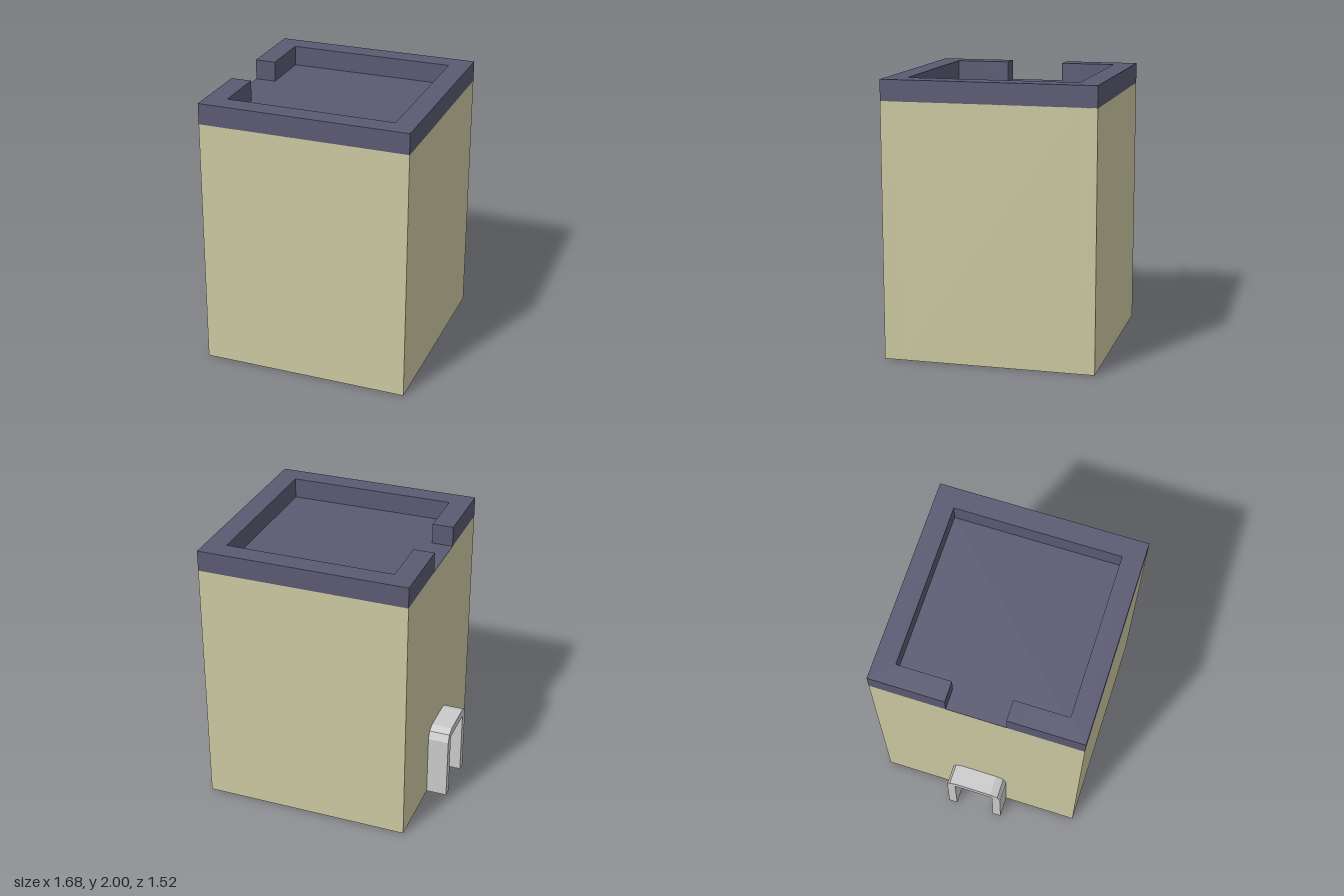
import * as THREE from 'three';

const material = (name, color) => {
  const m = new THREE.MeshStandardMaterial({ color });
  m.name = name;
  return m;
};

export function createModel() {
  const sand = material('sand wall', 0xcbc8a0);
  const slate = material('slate roof', 0x5a5972);
  const grey = material('grey frame', 0xcacaca);

  const group = new THREE.Group();
  const add = (name, geometry, mat, x = 0, y = 0, z = 0) => {
    const mesh = new THREE.Mesh(geometry, mat);
    mesh.name = name;
    mesh.position.set(x, y, z);
    group.add(mesh);
  };
  const box = (name, mat, w, h, d, x, y, z) =>
    add(name, new THREE.BoxGeometry(w, h, d), mat, x, y, z);

  const minX = -0.686, maxX = 0.838, half = 0.762, cx = (minX + maxX) / 2;
  const t = 0.12;             // wall thickness
  const roofY = 1.85, ceilY = 1.73;

  // Arch outline from the ground up and over, with bevelled corners
  const archPoints = (w, h, r) => {
    const k = r * Math.SQRT1_2;
    const side = [[w, 0], [w, h - r], [w - r + k, h - r + k], [w - r, h]];
    return [...side, ...side.map(([u, v]) => [-u, v]).reverse()].map(p => new THREE.Vector2(...p));
  };
  // Extrude a (z, y) outline toward -x from the given x
  const extrudeLeftward = (points, depth) =>
    new THREE.ExtrudeGeometry(new THREE.Shape(points), { depth, bevelEnabled: false })
      .rotateY(-Math.PI / 2);

  const outer = archPoints(0.212, 0.55, 0.08);
  const inner = archPoints(0.148, 0.486, 0.016);
  const cut = archPoints(0.154, 0.492, 0.022);

  // Three plain walls and the ceiling slab
  for (const s of [-1, 1])
    box(s > 0 ? 'frontWall' : 'backWall', sand, maxX - minX, roofY, t, cx, roofY / 2, s * (half - t / 2));
  box('sideWall', sand, t, roofY, 2 * (half - t), maxX - t / 2, roofY / 2, 0);
  box('ceiling', sand, maxX - minX - 2 * t, roofY - ceilY, 2 * (half - t), cx, (roofY + ceilY) / 2, 0);

  // Wall with the doorway
  const e = half - t;
  const wall = [[-e, 0], [-e, roofY], [e, roofY], [e, 0]].map(p => new THREE.Vector2(...p));
  add('doorWall', extrudeLeftward([...wall, ...cut], t), sand, minX + t);

  // Projecting door frame and the thin lining through the wall
  add('doorFrame', extrudeLeftward([...outer, ...inner.slice().reverse()], 0.152), grey, minX);
  add('doorLining', extrudeLeftward([...cut, ...inner.slice().reverse()], t), grey, minX + t);

  // Roof floor and parapet with a gap above the door
  box('roofFloor', slate, maxX - minX, 0.004, 2 * half, cx, roofY, 0);
  const p = 0.152, gap = 0.214;
  const parapet = new THREE.Shape([
    [minX, gap], [minX, half], [maxX, half], [maxX, -half], [minX, -half], [minX, -gap],
    [minX + p, -gap], [minX + p, -half + p], [maxX - p, -half + p],
    [maxX - p, half - p], [minX + p, half - p], [minX + p, gap],
  ].map(q => new THREE.Vector2(...q)));
  add('parapet', new THREE.ExtrudeGeometry(parapet, { depth: 2 - roofY, bevelEnabled: false })
    .rotateX(-Math.PI / 2), slate, 0, roofY);

  return group;
}
